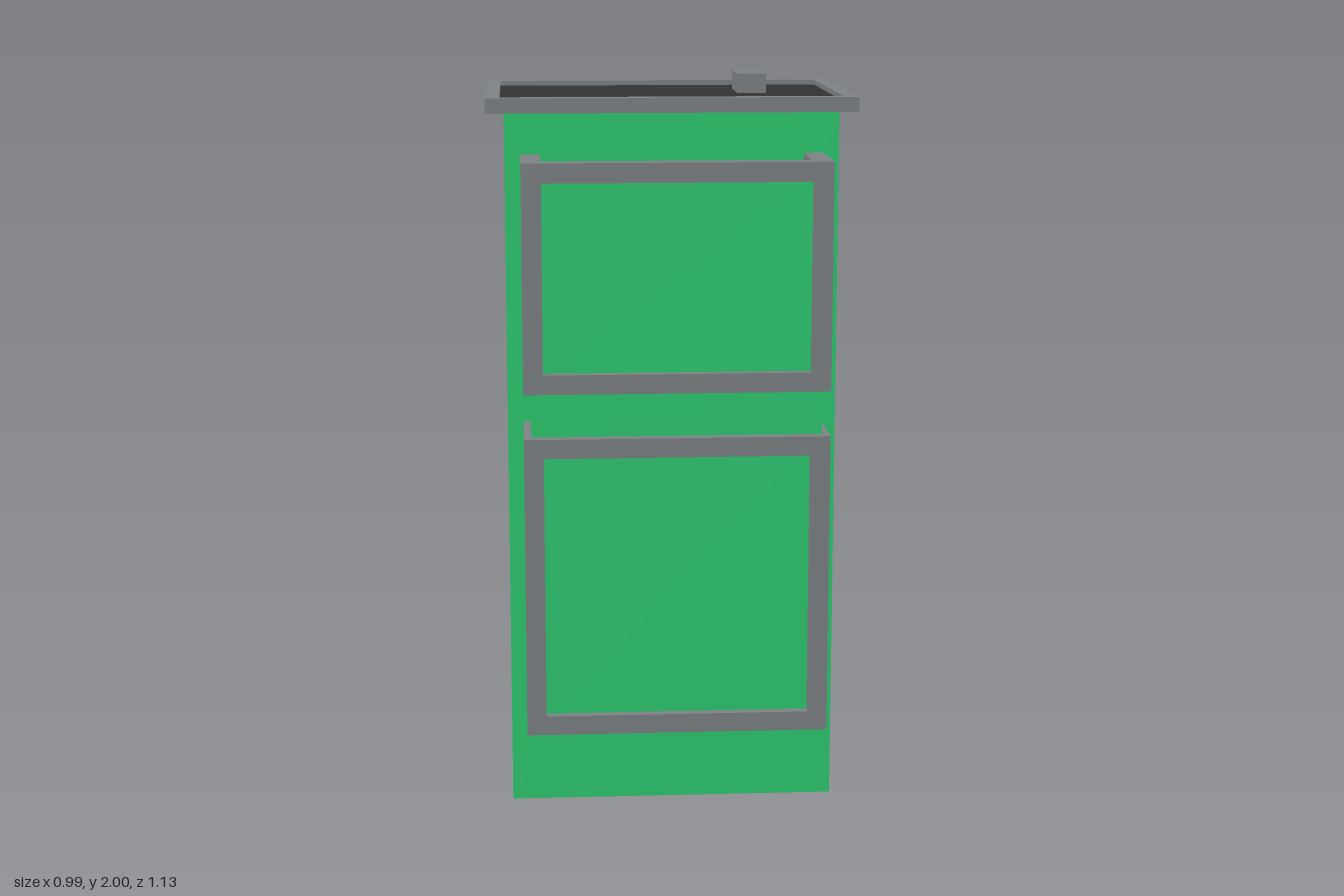
import * as THREE from 'three';

const green = new THREE.MeshStandardMaterial({ name: 'green wall', color: 0x2ecc71 });
const gray = new THREE.MeshStandardMaterial({ name: 'gray trim', color: 0x7f8386 });
const dark = new THREE.MeshStandardMaterial({ name: 'dark roofing', color: 0x333333 });

// Box given by its lower and upper limits on each axis
function box(parent, name, mat, [x0, x1], [y0, y1], [z0, z1]) {
  const mesh = new THREE.Mesh(new THREE.BoxGeometry(x1 - x0, y1 - y0, z1 - z0), mat);
  mesh.position.set((x0 + x1) / 2, (y0 + y1) / 2, (z0 + z1) / 2);
  mesh.name = name;
  parent.add(mesh);
  return mesh;
}

// Limits mirrored to the negative side when s is -1
const flip = (s, a, b) => (s > 0 ? [a, b] : [-b, -a]);

// Block of storeys running through the building, with framed ends and window sides
function windowBlock(y0, y1, bars) {
  const g = new THREE.Group();
  g.name = 'windowBlock';
  const t = 0.052;
  box(g, 'glazing', gray, [-0.355, 0.355], [y0 + 0.01, y1 - 0.03], [-0.515, 0.515]);
  box(g, 'blockRoof', dark, [-0.355, 0.355], [y1 - 0.03, y1 - 0.022], [-0.515, 0.515]);
  box(g, 'blockUnderside', green, [-0.405, 0.405], [y0 - 0.004, y0], [-0.565, 0.565]);
  for (const s of [1, -1]) {
    // Frame around the end panel
    box(g, 'endPanel', green, [-0.36, 0.36], [y0 + 0.02, y1 - 0.02], flip(s, 0.51, 0.54));
    for (const y of [y0, y1 - t]) {
      box(g, 'endRail', gray, [-0.405, 0.405], [y, y + t], flip(s, 0.513, 0.565));
      box(g, 'sideRail', gray, flip(s, 0.353, 0.405), [y, y + t], [-0.513, 0.513]);
    }
    for (const k of [1, -1]) {
      box(g, 'cornerPost', gray, flip(k, 0.353, 0.405), [y0 + t, y1 - t], flip(s, 0.513, 0.565));
    }
    // Window bars on the long sides
    for (const y of bars) {
      box(g, 'windowBand', green, flip(s, 0.35, 0.388), [y, y + 0.056], [-0.513, 0.513]);
    }
    box(g, 'centerPanel', green, flip(s, 0.35, 0.382), [y0 + t, y1 - t], [-0.055, 0.055]);
    for (const z of [-0.425, -0.155, 0.155, 0.425]) {
      box(g, 'mullion', green, flip(s, 0.35, 0.372), [y0 + t, y1 - t], [z - 0.006, z + 0.006]);
    }
  }
  return g;
}

export function createModel() {
  const model = new THREE.Group();
  model.name = 'apartmentBuilding';

  // Tall cross walls and the beam joining them under the roof
  for (const s of [1, -1]) {
    box(model, 'crossWall', green, [-0.447, 0.447], [0, 1.92], flip(s, 0.247, 0.33));
  }
  box(model, 'topBeam', green, [-0.447, 0.447], [1.86, 1.92], [-0.247, 0.247]);

  // Window blocks and the recessed storey between them
  model.add(windowBlock(0.27, 1.085, [0.457, 0.652, 0.851]));
  model.add(windowBlock(1.205, 1.81, [1.403, 1.588]));
  box(model, 'middleBand', green, [-0.385, 0.385], [1.08, 1.21], [-0.535, 0.535]);

  // Ground floor: plain wall on one side, piers and recessed doors on the other
  box(model, 'groundWall', green, [-0.357, -0.34], [0, 0.27], [-0.247, 0.247]);
  for (const [z0, z1] of [[-0.247, -0.2], [-0.088, 0.07], [0.185, 0.247]]) {
    box(model, 'entrancePier', green, [0.34, 0.405], [0, 0.27], [z0, z1]);
  }
  for (const [z0, z1] of [[-0.2, -0.088], [0.07, 0.185]]) {
    box(model, 'doorLintel', green, [0.34, 0.405], [0.25, 0.27], [z0, z1]);
    box(model, 'door', gray, [0.325, 0.333], [0.01, 0.27], [z0, z1]);
  }

  // Roof slab with raised rim, dark covering and chimney
  box(model, 'roofSlab', gray, [-0.497, 0.497], [1.92, 1.938], [-0.355, 0.355]);
  box(model, 'roofCovering', dark, [-0.458, 0.458], [1.938, 1.946], [-0.316, 0.316]);
  for (const s of [1, -1]) {
    box(model, 'roofRimEnd', gray, [-0.497, 0.497], [1.938, 1.96], flip(s, 0.316, 0.355));
    box(model, 'roofRimSide', gray, flip(s, 0.458, 0.497), [1.938, 1.96], [-0.316, 0.316]);
  }
  box(model, 'chimney', gray, [0.203, 0.283], [1.94, 2], [-0.16, 0.01]);

  return model;
}
